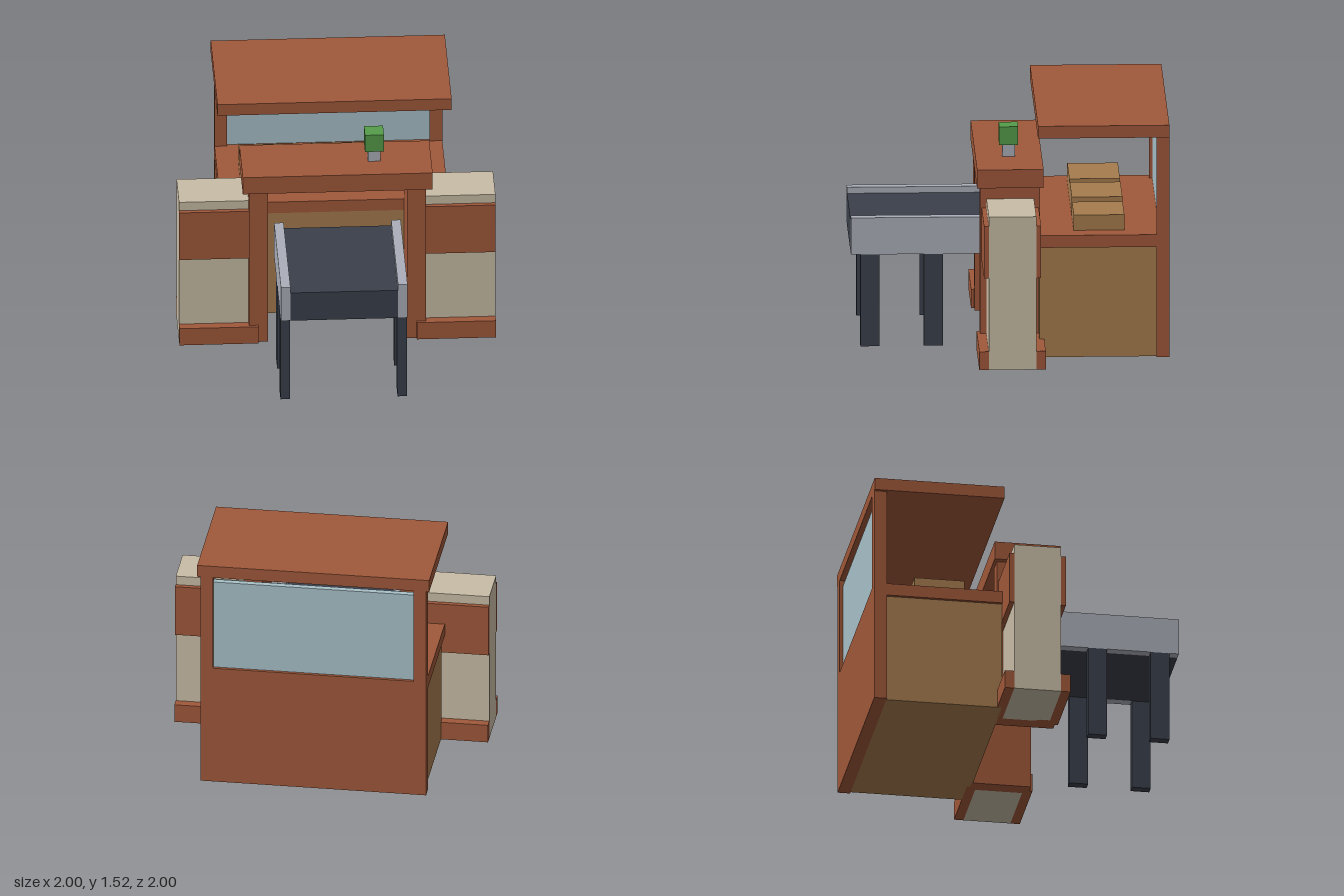
import * as THREE from 'three';

const paint = (name, color) => {
  const m = new THREE.MeshStandardMaterial({ color });
  m.name = name;
  return m;
};

export function createModel() {
  const brick = paint('brick red', 0xa0583a);
  const beige = paint('beige plaster', 0xc9bda6);
  const wood = paint('tan wood', 0xa67c4e);
  const steel = paint('light steel', 0xabafb9);
  const dark = paint('dark belt', 0x3a404b);
  const glass = paint('pale glass', 0xa8c1c9);
  const green = paint('leaf green', 0x559c4a);

  const model = new THREE.Group();
  model.name = 'serviceBooth';

  const group = (name) => {
    const g = new THREE.Group();
    g.name = name;
    model.add(g);
    return g;
  };

  // Box given by its extents along each axis
  const box = (parent, name, mat, [x0, x1], [y0, y1], [z0, z1]) => {
    const mesh = new THREE.Mesh(new THREE.BoxGeometry(x1 - x0, y1 - y0, z1 - z0), mat);
    mesh.position.set((x0 + x1) / 2, (y0 + y1) / 2, (z0 + z1) / 2);
    mesh.name = name;
    parent.add(mesh);
  };
  const span = (a, b, side) => (side > 0 ? [a, b] : [-b, -a]);

  const wall = group('frontWall');
  const arch = group('archway');
  const conveyor = group('conveyor');
  const counter = group('counter');
  const canopy = group('canopy');
  const plant = group('pottedPlant');

  for (const s of [-1, 1]) {
    // Side walls, with brick courses on the front and back faces
    box(wall, 'sideWall', beige, span(0.54, 1, s), [0, 1], [-0.15, 0.15]);
    for (const f of [-1, 1]) {
      box(wall, 'brickBand', brick, span(0.55, 1, s), [0.6, 0.94], span(0.15, 0.18, f));
      box(wall, 'brickPlinth', brick, span(0.5, 1, s), [0, 0.12], span(0.15, 0.21, f));
    }
    box(arch, 'archPillar', brick, span(0.44, 0.56, s), [0, 1.08], [-0.19, 0.19]);

    // Conveyor rails and legs
    box(conveyor, 'sideRail', steel, span(0.34, 0.4, s), [0.6, 0.84], [0.16, 1]);
    for (const z of [0.42, 0.82]) {
      box(conveyor, 'leg', dark, span(0.34, 0.4, s), [0, 0.6], [z, z + 0.12]);
    }
    box(canopy, 'roofPost', brick, span(0.64, 0.72, s), [0.8, 1.44], [-1, -0.92]);
  }

  box(arch, 'lintel', brick, [-0.6, 0.6], [1.08, 1.2], [-0.21, 0.21]);
  box(conveyor, 'belt', dark, [-0.34, 0.34], [0.6, 0.8], [0.16, 1]);

  // Counter body, worktop and back wall
  box(counter, 'cabinet', wood, [-0.7, 0.7], [0, 0.72], [-0.92, -0.18]);
  box(counter, 'worktop', brick, [-0.72, 0.72], [0.72, 0.8], [-0.92, -0.18]);
  box(counter, 'backWall', brick, [-0.72, 0.72], [0, 0.8], [-1, -0.92]);

  // Crates on the worktop
  for (const [x0, x1, top] of [[-0.58, -0.2, 0.92], [-0.12, 0.24, 0.92], [0.28, 0.6, 0.9]]) {
    box(counter, 'crate', wood, [x0, x1], [0.8, top], [-0.72, -0.4]);
  }

  // Rear window and roof slab
  box(canopy, 'rearWindow', glass, [-0.64, 0.64], [0.8, 1.4], [-0.98, -0.94]);
  box(canopy, 'roof', brick, [-0.74, 0.74], [1.44, 1.52], [-1, -0.17]);

  // Plant on the lintel
  box(plant, 'pot', steel, [0.2, 0.28], [1.2, 1.28], [-0.04, 0.04]);
  box(plant, 'foliage', green, [0.18, 0.3], [1.28, 1.4], [-0.06, 0.06]);

  return model;
}
